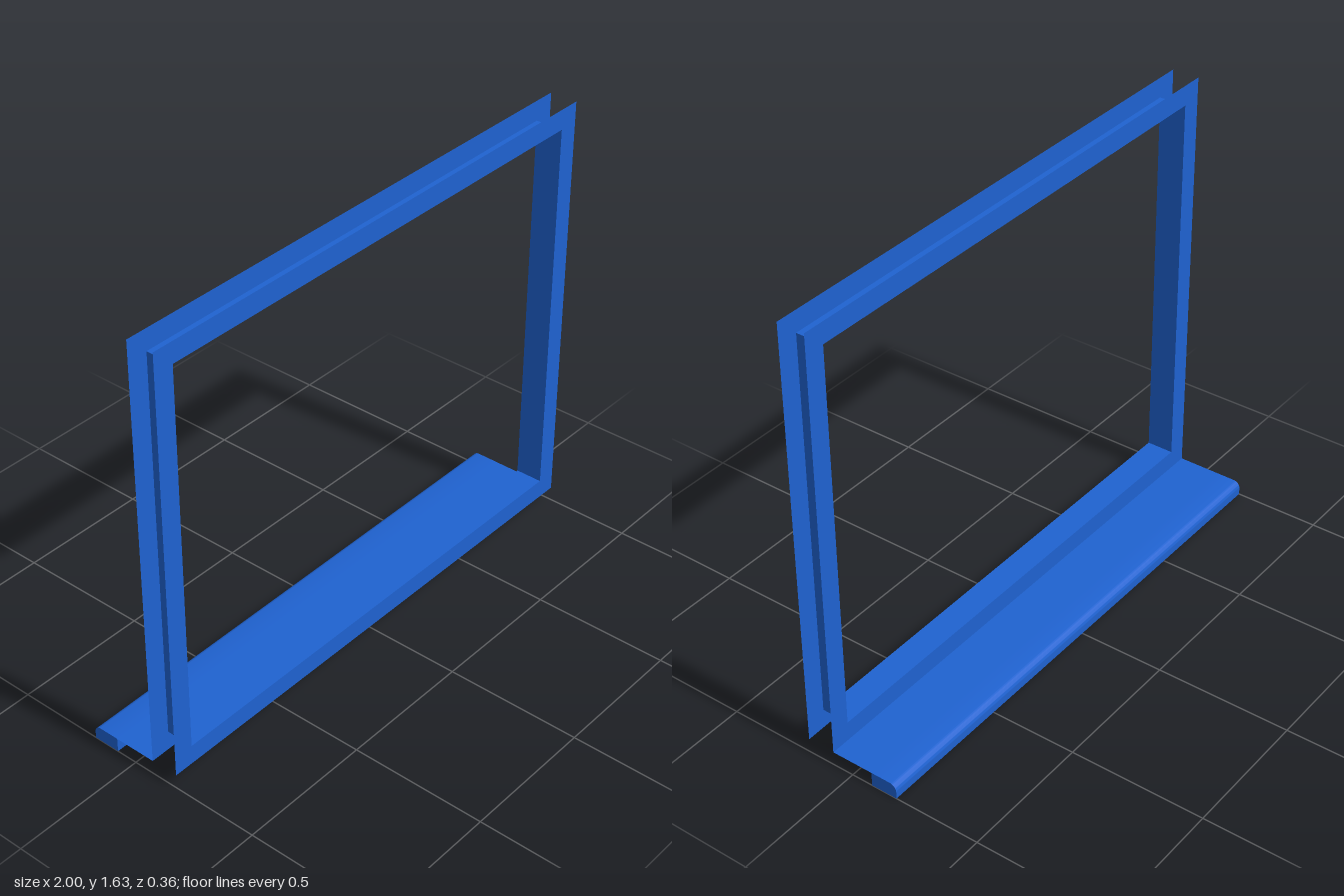
import * as THREE from 'three';
import { toCreasedNormals } from 'three/addons/utils/BufferGeometryUtils.js';

const FRONT = 0.18, REAR = 0.078;            // z of the two flat casings
const BOTTOM = 0.053, TOP = 1.632, HALF = 1; // casing outline
const BORDER = 0.075;

export function createModel() {
  const group = new THREE.Group();
  group.name = 'windowTrim';
  const material = new THREE.MeshStandardMaterial({ color: 0x1f62d0, side: THREE.DoubleSide });
  const add = (name, geometry) => {
    const mesh = new THREE.Mesh(geometry, material);
    mesh.name = name;
    group.add(mesh);
    return mesh;
  };

  const x1 = HALF - BORDER, y0 = BOTTOM + BORDER - 0.003, y1 = TOP - BORDER;
  const rectangle = (Type, x, low, high) => new Type([
    new THREE.Vector2(-x, low), new THREE.Vector2(x, low),
    new THREE.Vector2(x, high), new THREE.Vector2(-x, high),
  ]);

  // Flat casings on either side of the wall
  const casing = rectangle(THREE.Shape, HALF, BOTTOM, TOP);
  casing.holes.push(rectangle(THREE.Path, x1, y0, y1));
  for (const [name, z] of [['frontCasing', FRONT], ['rearCasing', REAR]]) {
    add(name, new THREE.ShapeGeometry(casing)).position.z = z;
  }

  // Reveal lining the opening between the casings
  const depth = FRONT - REAR, midZ = (FRONT + REAR) / 2;
  for (const side of [-1, 1]) {
    const jamb = new THREE.PlaneGeometry(depth, y1 - y0).rotateY(-side * Math.PI / 2);
    add(side > 0 ? 'leftReveal' : 'rightReveal', jamb)
      .position.set(side * x1, (y0 + y1) / 2, midZ);
    const lining = new THREE.PlaneGeometry(2 * x1, depth).rotateX(side * Math.PI / 2);
    add(side > 0 ? 'topReveal' : 'bottomReveal', lining)
      .position.set(0, side > 0 ? y1 : y0, midZ);
  }

  // Thin sill board running back from the rear casing
  const NOSE = -0.08, BACK = -0.18;
  add('sillBoard', new THREE.PlaneGeometry(2 * HALF, REAR - NOSE).rotateX(-Math.PI / 2))
    .position.set(0, BOTTOM, (REAR + NOSE) / 2);

  // Solid sill nose with a rounded upper edge
  const r = 0.026;
  const profile = new THREE.Shape();
  profile.moveTo(-NOSE, 0);
  profile.lineTo(-BACK, 0);
  profile.lineTo(-BACK, BOTTOM - r);
  profile.absarc(-BACK - r, BOTTOM - r, r, 0, Math.PI / 2, false);
  profile.lineTo(-NOSE, BOTTOM);
  profile.closePath();
  const nose = new THREE.ExtrudeGeometry(profile, { depth: 2 * HALF, bevelEnabled: false, curveSegments: 8 });
  nose.rotateY(Math.PI / 2).translate(-HALF, 0, 0);
  add('sillNose', toCreasedNormals(nose, 0.6));

  return group;
}
